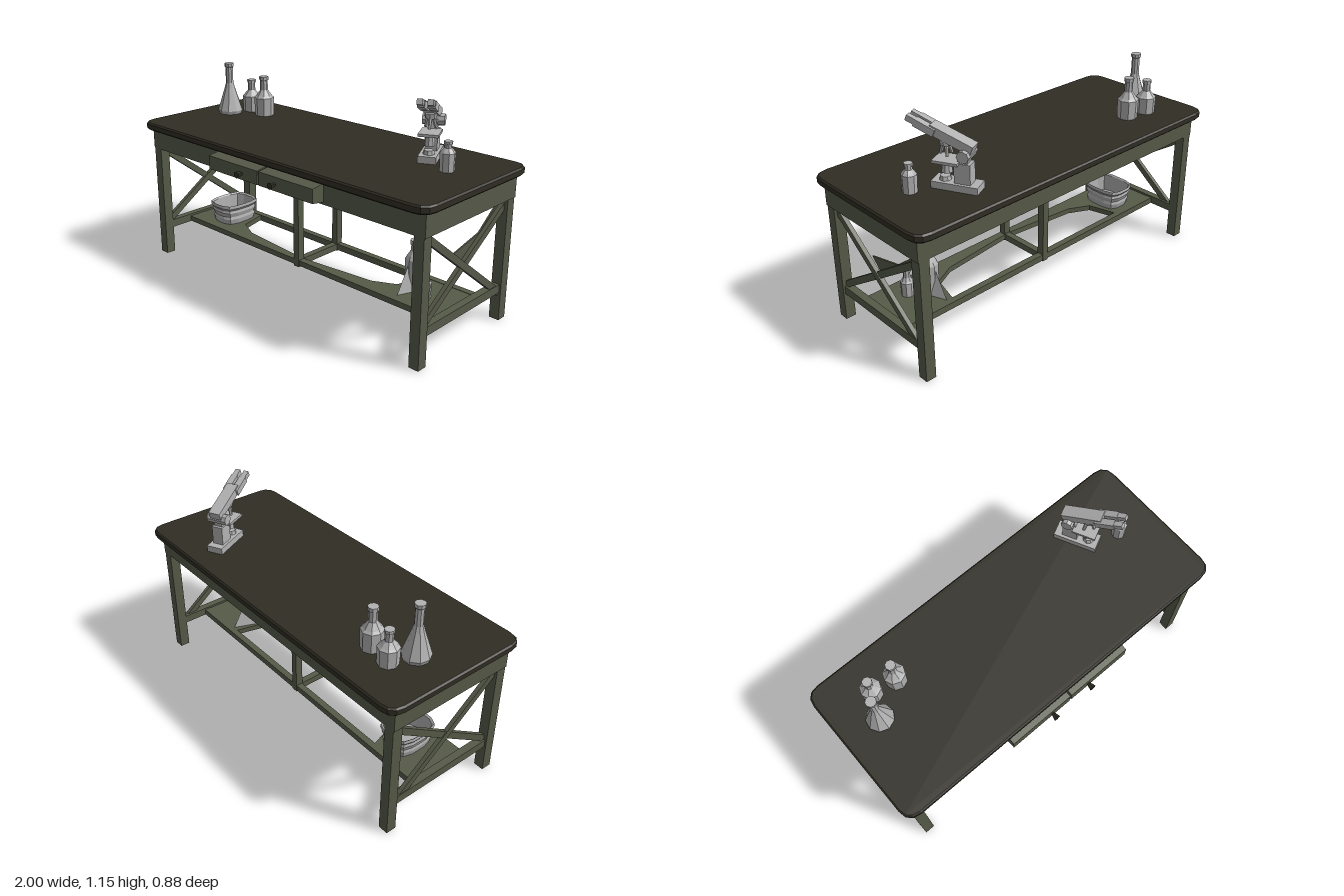
import * as THREE from 'three';

const flat = (name, color, side = THREE.FrontSide) => {
  const m = new THREE.MeshStandardMaterial({ color, flatShading: true, side });
  m.name = name;
  return m;
};

export function createModel() {
  const green = flat('olive painted wood', 0x565a48);
  const dark = flat('dark worktop', 0x2f2d23);
  const grey = flat('grey labware', 0xb2b2b2);
  const greyOpen = flat('grey basket', 0xaeaeae, THREE.DoubleSide);
  const root = new THREE.Group();
  root.name = 'laboratoryTable';

  const add = (parent, name, geo, mat, x = 0, y = 0, z = 0) => {
    const m = new THREE.Mesh(geo, mat);
    m.name = name;
    m.position.set(x, y, z);
    parent.add(m);
    return m;
  };
  // box given by its lower and upper limits
  const box = (parent, name, mat, x0, x1, y0, y1, z0, z1) =>
    add(parent, name, new THREE.BoxGeometry(x1 - x0, y1 - y0, z1 - z0), mat,
      (x0 + x1) / 2, (y0 + y1) / 2, (z0 + z1) / 2);
  // square bar between two points [y, z] in a plane of constant x
  const bar = (parent, name, mat, x, [y0, z0], [y1, z1], w, h) => {
    const m = add(parent, name, new THREE.BoxGeometry(w, h, Math.hypot(y1 - y0, z1 - z0)), mat,
      x, (y0 + y1) / 2, (z0 + z1) / 2);
    m.rotation.x = -Math.atan2(y1 - y0, z1 - z0);
  };
  const outline = pts => new THREE.Shape(pts.map(p => new THREE.Vector2(...p)));

  // worktop: rounded slab with small bevels
  const b = 0.008, X = 1 - b, Z0 = -0.38 + b, Z1 = 0.44 - b, r = 0.07;
  const s = new THREE.Shape();
  s.moveTo(-X + r, Z0);
  s.lineTo(X - r, Z0);
  s.quadraticCurveTo(X, Z0, X, Z0 + r);
  s.lineTo(X, Z1 - r);
  s.quadraticCurveTo(X, Z1, X - r, Z1);
  s.lineTo(-X + r, Z1);
  s.quadraticCurveTo(-X, Z1, -X, Z1 - r);
  s.lineTo(-X, Z0 + r);
  s.quadraticCurveTo(-X, Z0, -X + r, Z0);
  const top = new THREE.ExtrudeGeometry(s, {
    depth: 0.042 - 2 * b, bevelThickness: b, bevelSize: b, bevelSegments: 1, curveSegments: 3,
  }).rotateX(-Math.PI / 2);
  add(root, 'worktop', top, dark, 0, 0.763 + b, 0);

  // apron frame under the top
  box(root, 'frontApron', green, -0.965, 0.965, 0.645, 0.764, 0.29, 0.33);
  box(root, 'backApron', green, -0.965, 0.965, 0.645, 0.764, -0.385, -0.345);
  box(root, 'middleTopBeam', green, -0.018, 0.018, 0.645, 0.764, -0.345, 0.29);

  // table ends: apron, legs, lower rail, crossed braces and shelf
  for (const side of [-1, 1]) {
    const end = new THREE.Group();
    end.name = side > 0 ? 'leftEnd' : 'rightEnd';
    root.add(end);
    const span = (a, c) => (side > 0 ? [a, c] : [-c, -a]);
    box(end, 'endApron', green, ...span(0.92, 0.965), 0.645, 0.764, -0.345, 0.29);
    box(end, 'frontLeg', green, ...span(0.905, 0.96), 0, 0.645, 0.275, 0.33);
    box(end, 'backLeg', green, ...span(0.905, 0.96), 0, 0.645, -0.385, -0.33);
    box(end, 'endRail', green, ...span(0.91, 0.95), 0.15, 0.195, -0.33, 0.275);
    bar(end, 'braceFalling', green, side * 0.935, [0.63, 0.285], [0.145, -0.34], 0.022, 0.035);
    bar(end, 'braceRising', green, side * 0.93, [0.2, 0.28], [0.61, -0.34], 0.022, 0.035);
    box(end, 'backRail', green, ...span(0, 0.92), 0.15, 0.185, -0.193, -0.158);
    // shelf panel narrowing into the front rail
    const shelf = new THREE.ExtrudeGeometry(outline([
      [0.92, -0.142], [0.01, -0.142], [0.01, -0.105], [0.45, -0.06],
      [0.57, 0], [0.62, 0.19], [0.92, 0.19],
    ].map(([x, y]) => [side * x, y])), { depth: 0.03, bevelEnabled: false });
    add(end, 'shelf', shelf.rotateX(-Math.PI / 2), green, 0, 0.153, 0);
  }

  // web above the rising brace on the left end
  const web = new THREE.ExtrudeGeometry(outline([
    [-0.04, 0.47], [0.16, 0.515], [0.27, 0.6], [0.33, 0.645], [0.33, 0.59], [0.03, 0.4],
  ]), { depth: 0.008, bevelEnabled: false }).rotateY(Math.PI / 2);
  add(root, 'braceWeb', web, green, 0.912, 0, 0);

  // centre posts with their cross rail
  box(root, 'frontPost', green, -0.018, 0.018, 0.145, 0.65, 0.105, 0.145);
  box(root, 'backPost', green, -0.018, 0.018, 0.145, 0.65, -0.195, -0.155);
  box(root, 'crossRail', green, -0.018, 0.018, 0.15, 0.185, -0.16, 0.11);

  // drawers taper toward their front faces
  for (const side of [-1, 1]) {
    const g = new THREE.BoxGeometry(0.37, 0.095, 0.08);
    const p = g.attributes.position;
    for (let i = 0; i < p.count; i++) if (p.getZ(i) > 0) p.setY(i, p.getY(i) * 0.76);
    add(root, 'drawer', g, green, side * 0.19, 0.705, 0.365);
    const knob = new THREE.CylinderGeometry(0.018, 0.009, 0.035, 6).rotateX(Math.PI / 2);
    add(root, 'drawerKnob', knob, dark, side * 0.12, 0.702, 0.422);
  }

  // bottles and flasks: lathed profiles of [radius, height]
  const vessel = (name, x, y, z, profile, sides) =>
    add(root, name, new THREE.LatheGeometry(
      [[0, 0], ...profile, [0, profile.at(-1)[1]]].map(p => new THREE.Vector2(...p)), sides),
    grey, x, y, z);
  const bottle = (name, x, y, z, rad, h, shoulder, neck) => vessel(name, x, y, z, [
    [rad * 0.95, 0], [rad, shoulder * 0.9], [rad * 0.8, shoulder], [neck, shoulder + (h - shoulder) * 0.3],
    [neck, h * 0.9], [neck * 1.2, h * 0.91], [neck * 1.2, h],
  ], 8);
  vessel('conicalFlask', -0.79, 0.805, -0.1, [
    [0.065, 0], [0.072, 0.02], [0.03, 0.15], [0.022, 0.18], [0.022, 0.27], [0.027, 0.275], [0.027, 0.293],
  ], 9);
  bottle('backBottle', -0.74, 0.805, -0.225, 0.054, 0.185, 0.1, 0.021);
  bottle('middleBottle', -0.61, 0.805, -0.205, 0.057, 0.225, 0.115, 0.022);
  bottle('smallBottle', 0.77, 0.805, -0.085, 0.038, 0.145, 0.1, 0.018);
  bottle('tallShelfBottle', 0.655, 0.183, -0.03, 0.052, 0.257, 0.18, 0.025);
  bottle('smallShelfBottle', 0.75, 0.183, 0.02, 0.035, 0.145, 0.085, 0.018);
  const wedge = new THREE.ConeGeometry(1, 0.21, 4).scale(0.05, 1, 0.125);
  add(root, 'shelfFlask', wedge, grey, 0.645, 0.288, -0.03);

  // open basket with woven bands: a lathe squared off away from its axis
  const basket = new THREE.LatheGeometry([
    [0, 0], [0.84, 0], [0.9, 0.03], [0.86, 0.045], [0.94, 0.07], [0.9, 0.085], [1, 0.1], [0.98, 0.118], [0.9, 0.11],
    [0.8, 0.015], [0, 0.015],
  ].map(p => new THREE.Vector2(...p)), 16);
  const bp = basket.attributes.position;
  for (let i = 0; i < bp.count; i++) {
    const x = bp.getX(i), z = bp.getZ(i), len = Math.hypot(x, z);
    if (len < 0.001) continue;
    const k = ((x / len) ** 4 + (z / len) ** 4) ** -0.25;
    bp.setX(i, x * k * 0.1);
    bp.setZ(i, z * k * 0.125);
  }
  add(root, 'basket', basket, greyOpen, -0.7, 0.183, -0.025);

  // microscope, turned toward the front left
  const scope = new THREE.Group();
  scope.name = 'microscope';
  scope.position.set(0.61, 0.805, -0.16);
  scope.rotation.y = 0.46;
  root.add(scope);
  box(scope, 'scopeBase', grey, -0.045, 0.045, 0, 0.035, -0.165, 0.065);
  box(scope, 'scopeColumn', grey, -0.03, 0.03, 0.035, 0.135, -0.125, -0.045);
  bar(scope, 'scopeArm', grey, 0, [0.115, -0.08], [0.215, -0.1], 0.045, 0.05);
  box(scope, 'stage', grey, -0.05, 0.05, 0.128, 0.142, -0.07, 0.055);
  add(scope, 'condenser', new THREE.CylinderGeometry(0.022, 0.028, 0.05, 8), grey, 0, 0.1, 0);
  add(scope, 'lamp', new THREE.CylinderGeometry(0.025, 0.03, 0.02, 8), grey, 0, 0.045, 0.01);
  add(scope, 'focusKnob', new THREE.CylinderGeometry(0.03, 0.03, 0.11, 8).rotateZ(Math.PI / 2), grey, 0, 0.18, -0.1);
  bar(scope, 'scopeHead', grey, 0, [0.205, -0.135], [0.285, 0.07], 0.065, 0.045);
  add(scope, 'nosepiece', new THREE.CylinderGeometry(0.032, 0.028, 0.025, 8), grey, 0, 0.222, 0);
  for (let i = 0; i < 3; i++) {
    const a = i * Math.PI * 2 / 3;
    const lens = add(scope, 'objective', new THREE.CylinderGeometry(0.011, 0.008, 0.055, 6), grey,
      Math.sin(a) * 0.022, 0.188, Math.cos(a) * 0.022);
    lens.rotation.set(-Math.cos(a) * 0.3, 0, Math.sin(a) * 0.3);
  }
  for (const side of [-1, 1]) {
    const x = side * 0.025;
    bar(scope, 'eyepieceTube', grey, x, [0.27, 0.04], [0.31, 0.135], 0.036, 0.036);
    bar(scope, 'eyepiece', grey, x, [0.31, 0.13], [0.328, 0.175], 0.028, 0.028);
  }
  return root;
}
